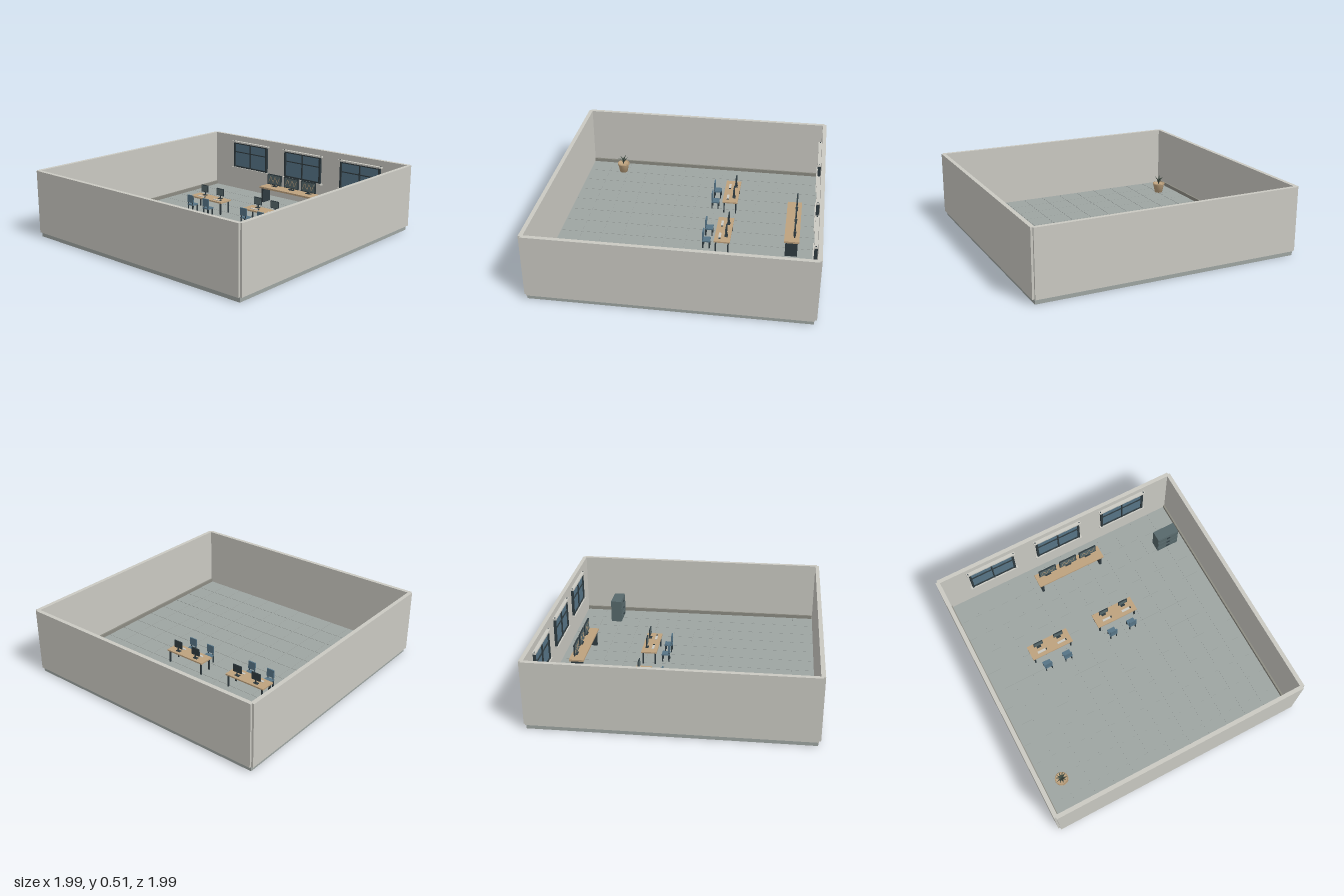
import * as THREE from 'three';

const mat = (name, color, side = THREE.FrontSide) => {
  const m = new THREE.MeshStandardMaterial({ color, side });
  m.name = name;
  return m;
};

export function createModel() {
  const wall = mat('plaster', 0xcac9c2);
  const floor = mat('floor grey', 0x9ea5a2);
  const trim = mat('trim grey', 0x8c8b82);
  const wood = mat('wood', 0xbea27e);
  const dark = mat('dark metal', 0x2f3b40);
  const blue = mat('blue', 0x567486);
  const steel = mat('cabinet steel', 0x57686b);
  const leaf = mat('dark leaf', 0x3f4a42, THREE.DoubleSide);
  const FLOOR = 0.038;

  const root = new THREE.Group();
  root.name = 'officeRoom';
  const group = (name, parent, x = 0, y = 0, z = 0) => {
    const g = new THREE.Group();
    g.name = name;
    g.position.set(x, y, z);
    parent.add(g);
    return g;
  };
  const add = (parent, name, geo, m, x, y, z) => {
    const mesh = new THREE.Mesh(geo, m);
    mesh.name = name;
    mesh.position.set(x, y, z);
    parent.add(mesh);
    return mesh;
  };
  // Box given by centre x, bottom y, centre z
  const box = (parent, name, m, w, h, d, x, y, z) =>
    add(parent, name, new THREE.BoxGeometry(w, h, d), m, x, y + h / 2, z);

  // Floor slab with raised square tiles
  box(root, 'floorSlab', floor, 1.96, 0.036, 1.96, 0, 0, 0);
  const tiles = group('floorTiles', root);
  const N = 12, pitch = 1.92 / N;
  for (let i = 0; i < N; i++)
    for (let j = 0; j < N; j++)
      box(tiles, 'tile', floor, pitch - 0.003, 0.003, pitch - 0.003,
        (i + 0.5) * pitch - 0.96, 0.035, (j + 0.5) * pitch - 0.96);

  // Four walls with notched corners, and skirting along the sides
  const walls = group('walls', root);
  for (const s of [-1, 1]) {
    box(walls, s > 0 ? 'frontWall' : 'backWall', wall, 1.964, 0.475, 0.03, 0, 0.036, s * 0.982);
    box(walls, s > 0 ? 'leftWall' : 'rightWall', wall, 0.03, 0.475, 1.964, s * 0.982, 0.036, 0);
    box(walls, 'sideSkirting', trim, 0.014, 0.03, 1.93, s * 0.961, 0.036, 0);
  }

  // Windows on the back wall
  for (const x of [-0.565, -0.003, 0.56]) {
    const w = group('window', root, x, 0.22, -0.967);
    box(w, 'glass', blue, 0.36, 0.22, 0.008, 0, 0.01, 0.004);
    for (const px of [-0.178, 0, 0.178])
      box(w, 'upright', dark, px ? 0.016 : 0.01, 0.22, 0.018, px, 0.012, 0.009);
    for (const [y, h] of [[0.012, 0.012], [0.145, 0.008], [0.22, 0.012]])
      box(w, 'crossBar', dark, 0.36, h, 0.015, 0, y, 0.0075);
    box(w, 'sill', wall, 0.4, 0.012, 0.026, 0, 0, 0.013);
    box(w, 'header', wall, 0.4, 0.012, 0.026, 0, 0.232, 0.013);
    for (const s of [-1, 1])
      add(w, 'headerPin', new THREE.CylinderGeometry(0.005, 0.005, 0.003, 12), dark, s * 0.188, 0.2452, 0.013);
  }

  // Long table with panel legs and three display panels
  const table = group('displayTable', root, 0, FLOOR, -0.79);
  box(table, 'tableTop', wood, 0.56, 0.014, 0.11, 0, 0.122, 0);
  for (const s of [-1, 1]) box(table, 'panelLeg', dark, 0.018, 0.122, 0.09, s * 0.255, 0, 0);
  for (const x of [-0.177, 0, 0.173]) {
    const d = group('displayPanel', table, x, 0.136, -0.018);
    box(d, 'panelFoot', dark, 0.05, 0.006, 0.02, 0, 0, 0);
    box(d, 'panelStem', dark, 0.012, 0.02, 0.006, 0, 0, 0);
    box(d, 'panelBody', dark, 0.145, 0.088, 0.01, 0, 0.014, 0);
    box(d, 'panelScreen', steel, 0.132, 0.076, 0.002, 0, 0.02, 0.0055);
    for (let i = 0; i < 5; i++) {
      const line = box(d, 'screenLine', wood, 0.004, 0.05, 0.001, (i - 2) * 0.023, 0.033, 0.007);
      line.rotation.z = i % 2 ? 0.4 : -0.4;
    }
  }

  // One work place: monitor, keyboard, mouse and chair
  const workPlace = (parent, x) => {
    const m = group('monitor', parent, x, 0.105, -0.025);
    box(m, 'monitorFoot', dark, 0.036, 0.004, 0.024, 0, 0, 0);
    box(m, 'monitorStem', dark, 0.008, 0.034, 0.006, 0, 0, -0.005);
    box(m, 'monitorBody', dark, 0.075, 0.058, 0.008, 0, 0.027, 0);
    box(m, 'monitorScreen', steel, 0.067, 0.05, 0.002, 0, 0.031, 0.0045);
    box(parent, 'keyboard', wall, 0.066, 0.004, 0.018, x + 0.003, 0.105, 0.022);
    box(parent, 'mouse', dark, 0.009, 0.005, 0.014, x + 0.043, 0.105, 0.021);

    const c = group('chair', parent, x, 0, 0.121);
    box(c, 'seat', blue, 0.062, 0.01, 0.06, 0, 0.055, 0);
    box(c, 'backrest', blue, 0.062, 0.062, 0.009, 0, 0.078, 0.025);
    for (const sx of [-1, 1]) {
      box(c, 'backPost', dark, 0.006, 0.03, 0.005, sx * 0.022, 0.06, 0.025);
      for (const sz of [-1, 1])
        box(c, 'chairLeg', dark, 0.008, 0.055, 0.008, sx * 0.025, 0, sz * 0.024);
    }
  };

  // Two desks, each with two work places
  for (const x of [-0.425, 0.137]) {
    const desk = group('desk', root, x, FLOOR, -0.285);
    box(desk, 'deskTop', wood, 0.337, 0.011, 0.118, 0, 0.094, 0);
    for (const sx of [-1, 1])
      for (const sz of [-1, 1])
        box(desk, 'deskLeg', dark, 0.01, 0.094, 0.01, sx * 0.152, 0, sz * 0.046);
    workPlace(desk, -0.083);
    workPlace(desk, 0.085);
  }

  // Drawer cabinet
  const cab = group('cabinet', root, 0.81, FLOOR, -0.677);
  box(cab, 'cabinetBody', steel, 0.18, 0.18, 0.084, 0, 0, 0);
  for (let i = 0; i < 3; i++) {
    box(cab, 'drawerFront', steel, 0.168, 0.052, 0.004, 0, 0.006 + i * 0.058, 0.044);
    box(cab, 'drawerHandle', dark, 0.028, 0.006, 0.008, 0, 0.034 + i * 0.058, 0.049);
  }

  // Potted plant with a ring of curved leaves
  const plant = group('pottedPlant', root, -0.815, FLOOR, 0.683);
  const potProfile = [[0, 0], [0.032, 0], [0.046, 0.07], [0.05, 0.07], [0.05, 0.08], [0.043, 0.08], [0.041, 0.07], [0, 0.07]]
    .map(([r, y]) => new THREE.Vector2(r, y));
  add(plant, 'pot', new THREE.LatheGeometry(potProfile, 20), wood, 0, 0, 0);
  const leafGeo = new THREE.PlaneGeometry(0.012, 0.07, 2, 5).translate(0, 0.035, 0);
  const p = leafGeo.attributes.position;
  for (let i = 0; i < p.count; i++) {
    const t = p.getY(i) / 0.07;
    p.setXYZ(i, p.getX(i) * Math.sin(Math.PI * (0.1 + 0.88 * t)), 0.07 * t - 0.02 * t * t, 0.042 * t * t);
  }
  leafGeo.computeVertexNormals();
  for (let i = 0; i < 10; i++) {
    const l = add(plant, 'leaf', leafGeo, leaf, 0, 0.07, 0);
    l.rotation.y = (i / 10) * Math.PI * 2;
    l.scale.y = i % 2 ? 1.3 : 0.9;
  }
  return root;
}
